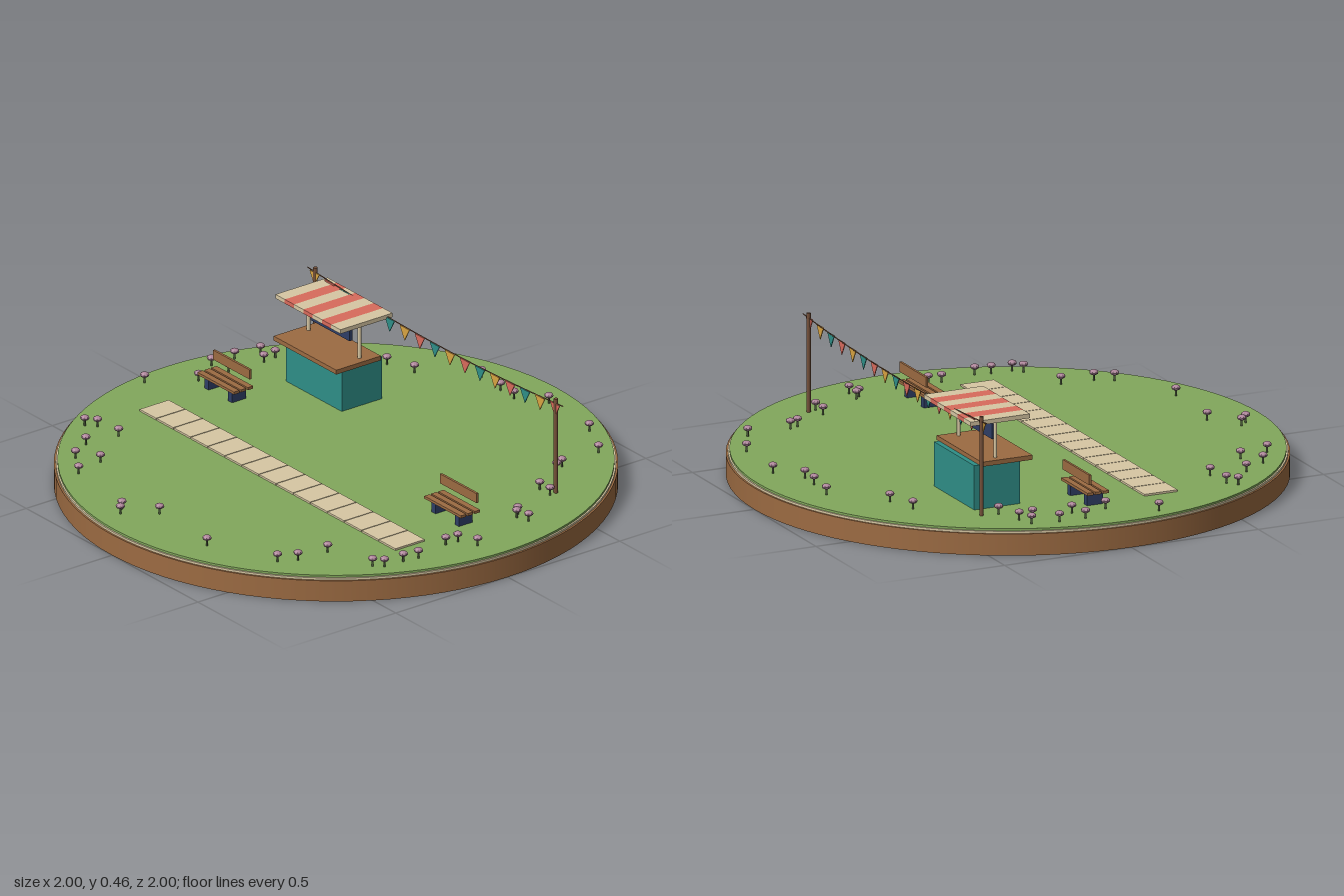
import * as THREE from 'three';

const mat = (color, extra = {}) => new THREE.MeshStandardMaterial({ color, ...extra });
const WOOD = mat(0x9c6b42), POLE = mat(0x755039), CREAM = mat(0xd8c8a4), TEAL = mat(0x2f8f88);
const RED = mat(0xd96b5c), NAVY = mat(0x2f3e66), GRASS = mat(0x82a85c), STEM = mat(0x4a5a3a);
const BLOOM = mat(0xad8499, { flatShading: true });
const FLAGS = [0xd9a441, 0xd96b5c, 0x2f8f88].map(c => mat(c, { side: THREE.DoubleSide }));
const GROUND = 0.096;

// flower positions as x, z pairs around the lawn edge
const FLOWERS = [
  -.235, -.83, -.105, -.815, -.02, -.81, .085, -.885, .36, -.855, .525, -.77, -.41, -.665, -.525, -.63,
  .54, -.595, .555, -.56, .645, -.415, .705, -.415, -.715, -.385, -.81, -.35, -.87, -.33, -.805, -.295,
  -.89, -.23, -.895, -.13, -.815, -.145, -.82, -.015, -.925, .145, .765, -.225, .785, -.205, .835, -.22,
  .89, .05, .82, .085, .815, .135, .845, .28, .835, .34, .83, .42, .80, .45, .61, .505, .60, .63,
  .565, .695, .305, .81, -.01, .78, -.125, .86, -.095, .89, -.455, .80, -.485, .68, -.565, .73,
  -.635, .63, -.62, .495, -.73, .505, -.765, .535,
];

function add(parent, name, geometry, material, x = 0, y = 0, z = 0) {
  const mesh = new THREE.Mesh(geometry, material);
  mesh.name = name;
  mesh.position.set(x, y, z);
  parent.add(mesh);
  return mesh;
}

function group(parent, name, x = 0, y = 0, z = 0) {
  const g = new THREE.Group();
  g.name = name;
  g.position.set(x, y, z);
  parent.add(g);
  return g;
}

const box = (parent, name, w, h, d, material, x, y, z) =>
  add(parent, name, new THREE.BoxGeometry(w, h, d), material, x, y, z);

// round island: earth, pale rim, lawn
function addIsland(root) {
  const g = group(root, 'island');
  add(g, 'earth', new THREE.CylinderGeometry(1, 1, 0.08, 96), WOOD, 0, 0.04, 0);
  add(g, 'rim', new THREE.CylinderGeometry(0.993, 0.993, 0.01, 96), CREAM, 0, 0.083, 0);
  add(g, 'lawn', new THREE.CylinderGeometry(0.987, 0.987, 0.016, 96), GRASS, 0, GROUND - 0.008, 0);
}

// row of paving slabs
function addPath(root) {
  const g = group(root, 'path');
  for (let i = 0; i < 15; i++)
    box(g, 'pavingSlab', 0.096, 0.008, 0.13, CREAM, (i - 7) * 0.0995, GROUND + 0.003, 0.241);
}

// stall with counter, sign and striped awning
function addStall(root) {
  const g = group(root, 'stall', -0.468, 0, -0.35);
  box(g, 'stallBody', 0.325, 0.164, 0.18, TEAL, 0, 0.178, 0);
  box(g, 'counter', 0.365, 0.017, 0.2, WOOD, 0, 0.267, 0.03);
  for (const s of [-1, 1])
    add(g, 'awningPost', new THREE.CylinderGeometry(0.007, 0.007, 0.145, 10), CREAM, s * 0.148, 0.345, 0);
  box(g, 'signBoard', 0.228, 0.06, 0.014, NAVY, 0, 0.362, 0.011);
  for (let i = 0; i < 7; i++)
    box(g, 'awningStripe', 0.054, 0.016, 0.233, i % 2 ? RED : CREAM, (i - 3) * 0.054, 0.424, 0);
}

// slatted bench on two block legs
function addBench(root, x) {
  const g = group(root, 'bench', x, 0, -0.027);
  for (const z of [-0.031, 0, 0.031])
    box(g, 'seatSlat', 0.213, 0.01, 0.024, WOOD, 0, 0.146, z);
  box(g, 'backRest', 0.213, 0.037, 0.009, WOOD, 0, 0.199, -0.032);
  for (const s of [-1, 1])
    box(g, 'benchLeg', 0.023, 0.048, 0.062, NAVY, s * 0.068, 0.119, 0);
}

// two poles with a sagging string of flags
function addBunting(root) {
  const g = group(root, 'bunting', 0, 0, -0.445);
  const sag = x => 0.419 + 0.05 * x * x;
  for (const s of [-1, 1])
    add(g, 'buntingPole', new THREE.CylinderGeometry(0.008, 0.008, 0.368, 10), POLE, s * 0.7, 0.278, 0);

  const points = [];
  for (let i = 0; i <= 16; i++) {
    const x = -0.745 + i * 1.49 / 16;
    points.push(new THREE.Vector3(x, sag(x), 0));
  }
  add(g, 'string', new THREE.TubeGeometry(new THREE.CatmullRomCurve3(points), 48, 0.002, 6), POLE);

  const shape = new THREE.Shape();
  shape.moveTo(-0.028, 0);
  shape.lineTo(0, -0.05);
  shape.lineTo(0.028, 0);
  const flag = new THREE.ExtrudeGeometry(shape, { depth: 0.003, bevelEnabled: false });
  for (let i = 0; i < 17; i++) {
    const x = (i - 8) * 0.0875;
    add(g, 'flag', flag, FLAGS[i % 3], x, sag(x), 0.002);
  }
}

// small flowers with rounded heads
function addFlowers(root) {
  const g = group(root, 'flowers');
  const stem = new THREE.CylinderGeometry(0.004, 0.004, 0.03, 6);
  const head = new THREE.SphereGeometry(0.017, 8, 6);
  head.scale(1, 0.6, 1);
  for (let i = 0; i < FLOWERS.length; i += 2) {
    const flower = group(g, 'flower', FLOWERS[i], GROUND, FLOWERS[i + 1]);
    add(flower, 'flowerStem', stem, STEM, 0, 0.014, 0);
    add(flower, 'flowerHead', head, BLOOM, 0, 0.031, 0);
  }
}

export function createModel() {
  const root = new THREE.Group();
  root.name = 'parkIsland';
  addIsland(root);
  addPath(root);
  addStall(root);
  addBench(root, -0.68);
  addBench(root, 0.641);
  addBunting(root);
  addFlowers(root);
  return root;
}
